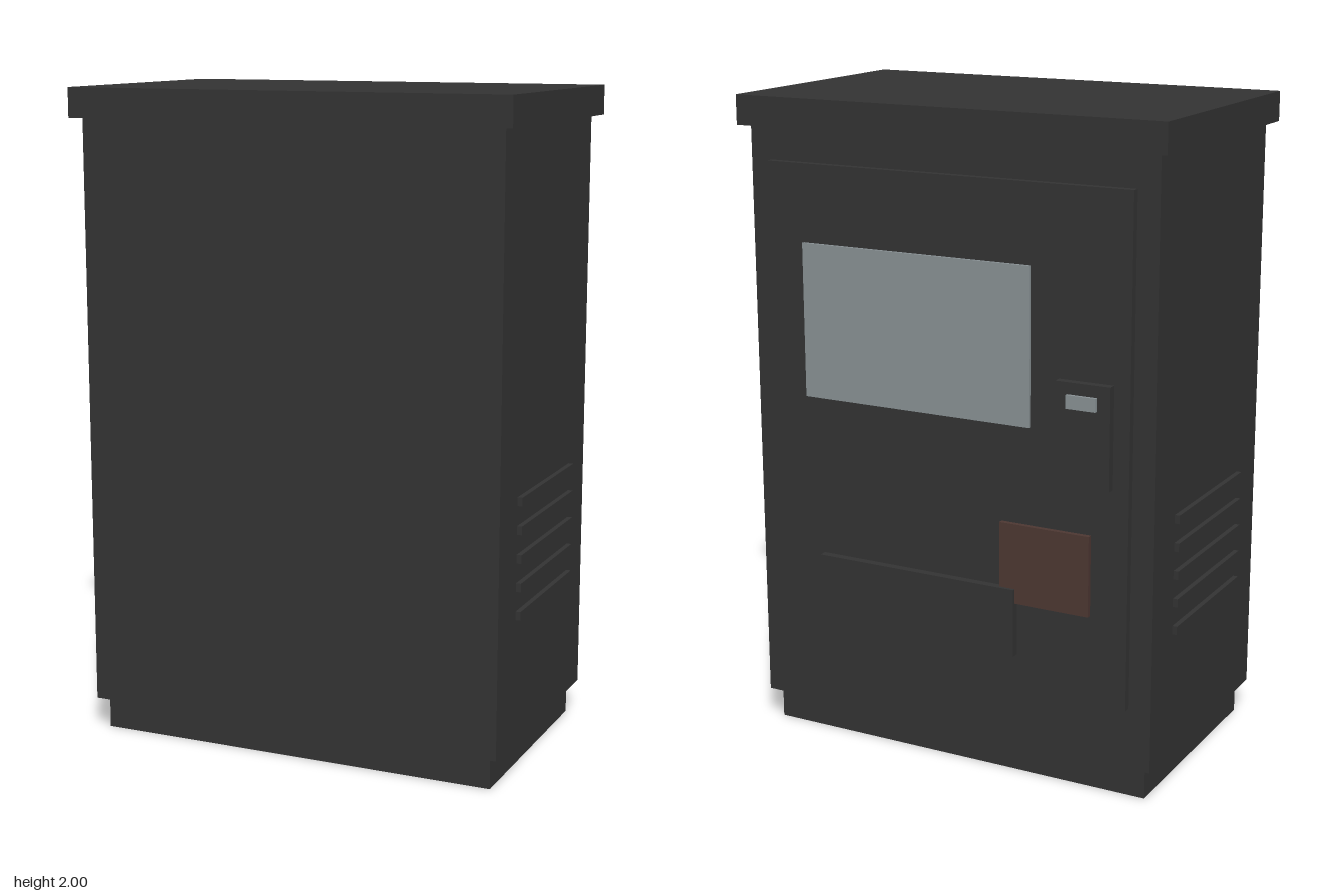
import * as THREE from 'three';

export function createModel() {
  const casing = new THREE.MeshStandardMaterial({ color: 0x333333 });
  casing.name = 'dark grey casing';
  const glass = new THREE.MeshStandardMaterial({ color: 0x889194 });
  glass.name = 'pale grey glass';
  const brown = new THREE.MeshStandardMaterial({ color: 0x4d3732 });
  brown.name = 'dark brown plate';

  const group = new THREE.Group();
  group.name = 'kiosk';

  // Box given by its limits on each axis
  function box(name, material, [x0, x1], [y0, y1], [z0, z1]) {
    const mesh = new THREE.Mesh(new THREE.BoxGeometry(x1 - x0, y1 - y0, z1 - z0), material);
    mesh.position.set((x0 + x1) / 2, (y0 + y1) / 2, (z0 + z1) / 2);
    mesh.name = name;
    group.add(mesh);
  }

  // Cabinet: plinth, body and overhanging roof
  box('plinth', casing, [-0.637, 0.637], [0, 0.1], [-0.345, 0.375]);
  box('body', casing, [-0.665, 0.665], [0.1, 1.91], [-0.375, 0.405]);
  box('roof', casing, [-0.695, 0.695], [1.91, 2], [-0.405, 0.435]);

  // Service face at the rear: door with everything mounted on it
  const doorZ = -0.398;
  box('door', casing, [-0.595, 0.595], [0.29, 1.81], [doorZ, -0.375]);
  box('screen', glass, [-0.285, 0.473], [1.105, 1.575], [-0.408, doorZ]);
  box('cardReader', casing, [-0.545, -0.375], [0.955, 1.26], [-0.423, doorZ]);
  box('readerDisplay', glass, [-0.505, -0.412], [1.185, 1.225], [-0.433, -0.423]);
  box('brownPlate', brown, [-0.48, -0.19], [0.565, 0.81], [-0.413, doorZ]);
  box('trayFlap', casing, [-0.24, 0.427], [0.4, 0.61], [-0.423, doorZ]);

  // Ventilation slats on both sides
  for (const side of [-1, 1]) {
    for (let i = 0; i < 5; i++) {
      const y = 0.495 + i * 0.0855;
      const x = side * 0.672;
      box('ventSlat', casing, [x - 0.008, x + 0.008], [y - 0.013, y + 0.013], [-0.225, 0.255]);
    }
  }
  return group;
}
